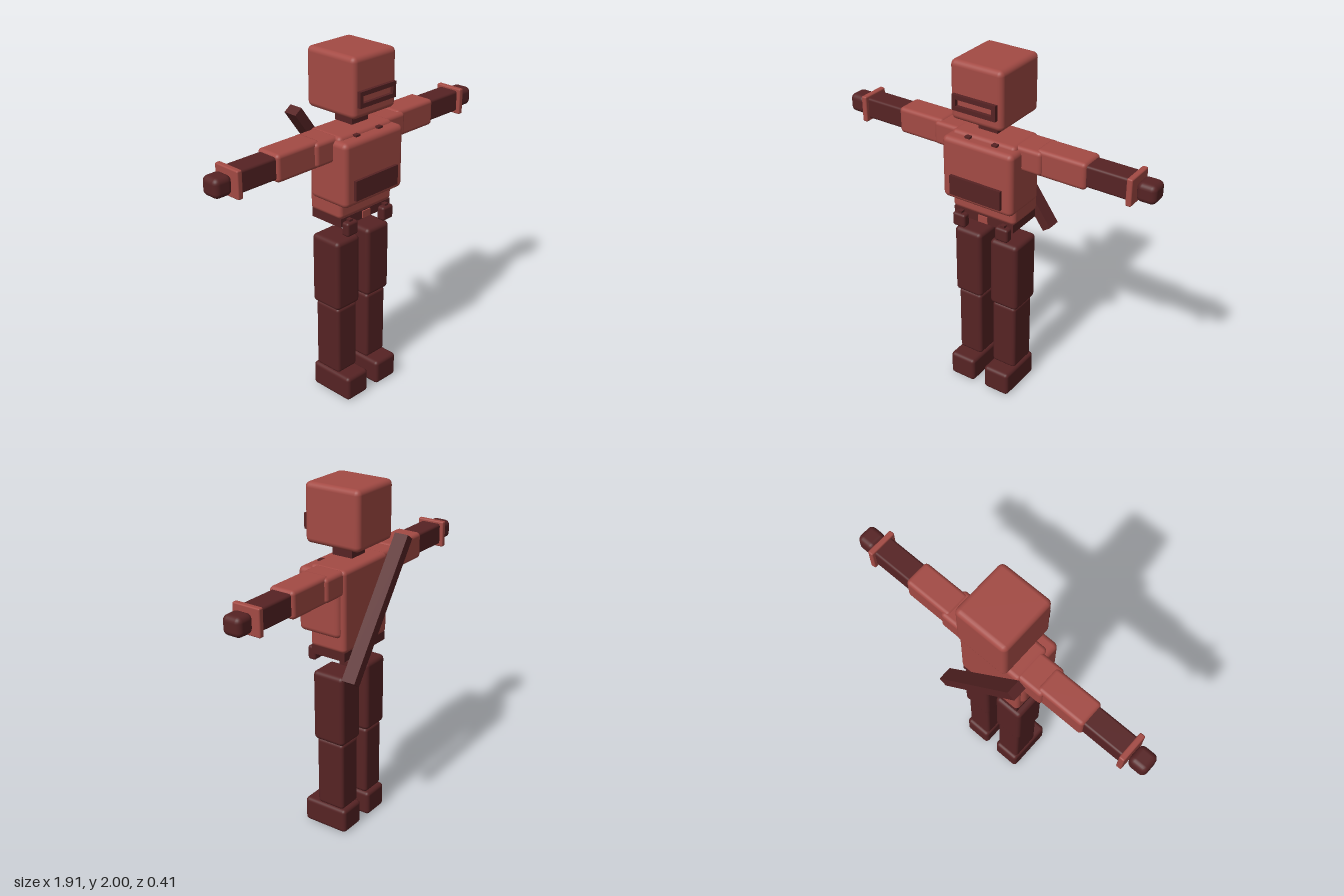
import * as THREE from 'three';
import { RoundedBoxGeometry } from 'three/addons/geometries/RoundedBoxGeometry.js';

export function createModel() {
  const model = new THREE.Group();
  model.name = 'blockFigure';

  const red = new THREE.MeshStandardMaterial({ color: 0xa34a44 });
  red.name = 'armour red';
  const dark = new THREE.MeshStandardMaterial({ color: 0x562324 });
  dark.name = 'dark maroon';

  // Box between two corners, with rounded edges when r > 0
  function block(name, mat, [x0, x1], [y0, y1], [z0, z1], r = 0) {
    const w = x1 - x0, h = y1 - y0, d = z1 - z0;
    const geo = r > 0 ? new RoundedBoxGeometry(w, h, d, 3, r) : new THREE.BoxGeometry(w, h, d);
    const mesh = new THREE.Mesh(geo, mat);
    mesh.name = name;
    mesh.position.set((x0 + x1) / 2, (y0 + y1) / 2, (z0 + z1) / 2);
    model.add(mesh);
    return mesh;
  }

  // The same block on both sides of the body
  function pair(name, mat, [x0, x1], y, z, r) {
    block(name + 'Left', mat, [x0, x1], y, z, r);
    block(name + 'Right', mat, [-x1, -x0], y, z, r);
  }

  // Head and neck
  block('head', red, [-0.158, 0.158], [1.675, 2], [-0.155, 0.187], 0.03);
  block('neck', dark, [-0.06, 0.06], [1.605, 1.69], [-0.045, 0.078]);

  // Visor frame with an open slot
  const frame = new THREE.Shape();
  frame.moveTo(-0.132, -0.043).lineTo(0.132, -0.043).lineTo(0.132, 0.043).lineTo(-0.132, 0.043).closePath();
  const slot = new THREE.Path();
  slot.moveTo(-0.11, -0.019).lineTo(-0.11, 0.019).lineTo(0.11, 0.019).lineTo(0.11, -0.019).closePath();
  frame.holes.push(slot);
  const visor = new THREE.Mesh(
    new THREE.ExtrudeGeometry(frame, { depth: 0.03, bevelEnabled: false }), dark);
  visor.name = 'visorFrame';
  visor.position.set(0, 1.783, 0.177);
  model.add(visor);

  // Torso: inner body, chest armour, front plate and strap ends
  block('body', red, [-0.2, 0.2], [1.12, 1.582], [-0.098, 0.13], 0.025);
  block('chestArmour', red, [-0.22, 0.22], [1.205, 1.565], [-0.075, 0.19], 0.03);
  block('chestPlate', dark, [-0.16, 0.16], [1.243, 1.355], [0.18, 0.207]);
  pair('strap', dark, [0.068, 0.1], [1.193, 1.576], [0.122, 0.148], 0);

  // Belt, buckle and pouches
  block('belt', dark, [-0.19, 0.19], [1.075, 1.125], [-0.09, 0.125]);
  block('buckle', red, [-0.03, 0.03], [1.08, 1.12], [0.115, 0.132]);
  pair('pouch', dark, [0.097, 0.178], [1.025, 1.105], [0.115, 0.165], 0.014);
  pair('pouchClasp', dark, [0.125, 0.15], [1.09, 1.117], [0.125, 0.15], 0);

  // Arms stretched sideways
  pair('shoulder', red, [0.17, 0.335], [1.445, 1.58], [-0.085, 0.1], 0.022);
  pair('upperArm', red, [0.29, 0.582], [1.437, 1.587], [-0.07, 0.085], 0.022);
  pair('forearm', dark, [0.56, 0.83], [1.453, 1.573], [-0.055, 0.07], 0.014);
  pair('cuff', red, [0.81, 0.842], [1.437, 1.587], [-0.075, 0.092], 0.008);
  pair('hand', dark, [0.846, 0.953], [1.46, 1.565], [-0.047, 0.066], 0.03);

  // Legs
  pair('thigh', dark, [0.03, 0.205], [0.56, 0.978], [-0.085, 0.115], 0.025);
  pair('shin', dark, [0.04, 0.19], [0.145, 0.562], [-0.073, 0.102], 0.02);
  pair('foot', dark, [0.035, 0.198], [0, 0.147], [-0.093, 0.187], 0.022);

  // Slanted sheath across the back
  const sheath = block('backSheath', dark, [-0.027, 0.027], [0.913, 1.751], [-0.206, -0.124]);
  sheath.rotation.z = THREE.MathUtils.degToRad(35.7);

  return model;
}
